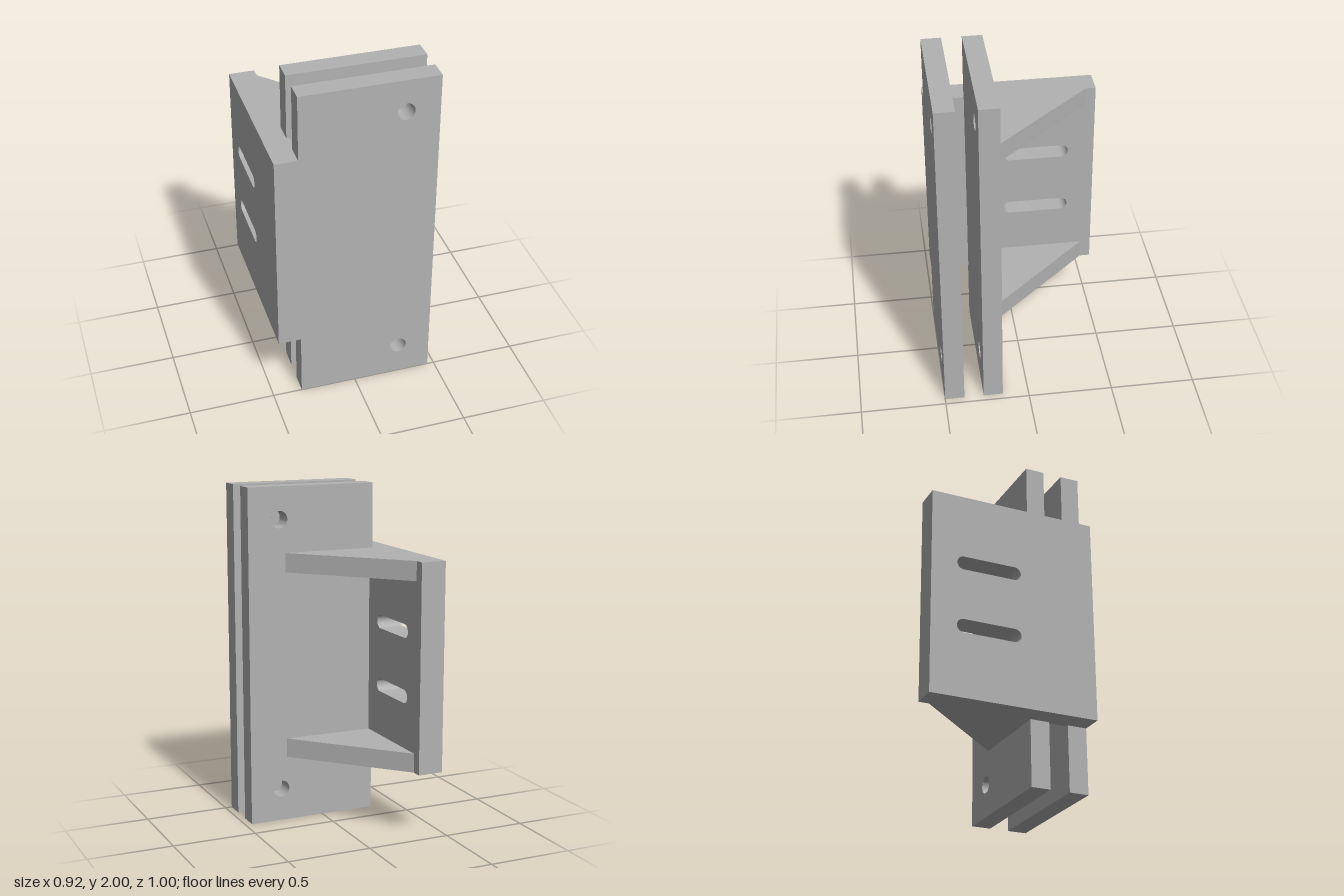
import * as THREE from 'three';
import { toCreasedNormals } from 'three/addons/utils/BufferGeometryUtils.js';

const polygon = (pts) => new THREE.Shape(pts.map(([x, y]) => new THREE.Vector2(x, y)));

// Extrude a shape by depth, keeping edges sharp and bores smooth
function slab(shape, depth) {
  const geo = new THREE.ExtrudeGeometry(shape, { depth, bevelEnabled: false, curveSegments: 20 });
  return toCreasedNormals(geo, 0.6);
}

export function createModel() {
  const group = new THREE.Group();
  const grey = new THREE.MeshStandardMaterial({ color: 0xb2b2b2 });
  grey.name = 'grey';

  const add = (name, geo, x, y, z) => {
    const mesh = new THREE.Mesh(geo, grey);
    mesh.name = name;
    mesh.position.set(x, y, z);
    group.add(mesh);
  };

  const low = 0.39, high = 1.615; // height range of the side plate
  const inner = -0.31, outer = -0.46; // faces of the side plate

  // Two parallel clamp plates, recessed where the side plate meets them
  const clamp = polygon([
    [-0.328, 0], [0.46, 0], [0.46, 2], [-0.328, 2],
    [-0.328, high], [inner, high], [inner, low], [-0.328, low],
  ]);
  for (const y of [0.195, 1.81]) {
    clamp.holes.push(new THREE.Path().absarc(0.267, y, 0.05, 0, Math.PI * 2, true));
  }
  const clampGeo = slab(clamp, 0.115);
  add('frontPlate', clampGeo, 0, 0, 0.385);
  add('rearPlate', clampGeo, 0, 0, 0.154);

  // Side plate with two slots, drawn in (-z, y) and turned to face x
  const side = polygon([[-0.5, low], [0.5, low], [0.5, high], [-0.5, high]]);
  const r = 0.04;
  for (const y of [0.811, 1.195]) {
    const slot = new THREE.Path();
    slot.absarc(-0.003, y, r, -Math.PI / 2, Math.PI / 2, true);
    slot.absarc(0.305, y, r, Math.PI / 2, -Math.PI / 2, true);
    slot.closePath();
    side.holes.push(slot);
  }
  add('sidePlate', slab(side, inner - outer).rotateY(Math.PI / 2), outer, 0, 0);

  // Triangular gussets, drawn in (x, z) and laid flat
  const gusset = polygon([[inner, -0.44], [0.23, 0.154], [inner, 0.154]]);
  const gussetGeo = slab(gusset, 0.113).rotateX(Math.PI / 2);
  add('upperGusset', gussetGeo, 0, high, 0);
  add('lowerGusset', gussetGeo, 0, low + 0.113, 0);

  return group;
}
